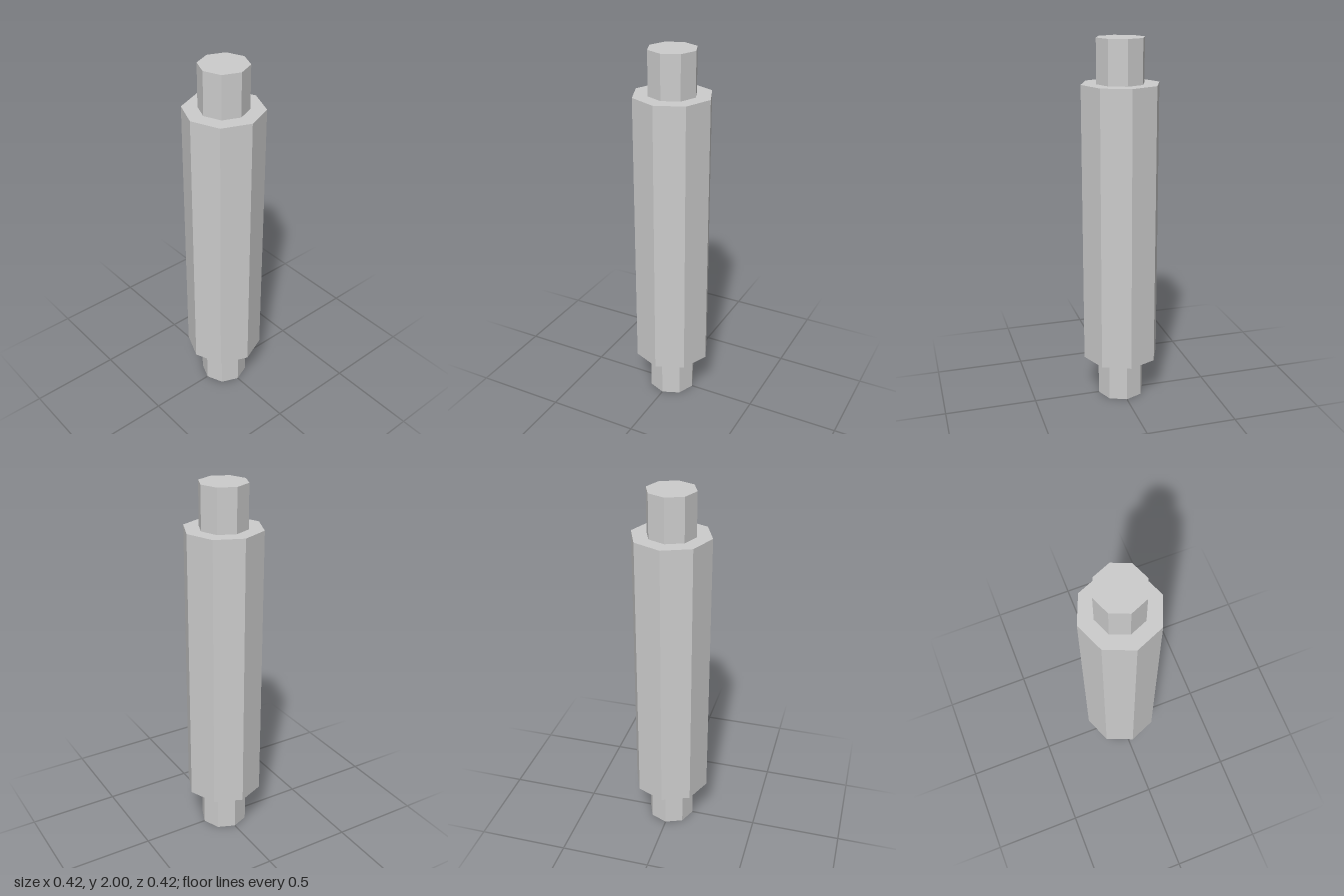
import * as THREE from 'three';

const SIDES = 8;
const HEIGHT = 2;
const PIN_LENGTH = 0.234;

export function createModel() {
  const group = new THREE.Group();
  group.name = 'roller';
  const material = new THREE.MeshStandardMaterial({ color: 0xcccccc, flatShading: true });

  // Octagonal prism standing between two heights, with corners on the axes
  const addPrism = (name, radius, bottom, top) => {
    const geometry = new THREE.CylinderGeometry(radius, radius, top - bottom, SIDES);
    const mesh = new THREE.Mesh(geometry, material);
    mesh.name = name;
    mesh.position.y = (bottom + top) / 2;
    group.add(mesh);
  };

  // Thick barrel with a narrower pin at each end
  addPrism('barrel', 0.212, PIN_LENGTH, HEIGHT - PIN_LENGTH);
  addPrism('lowerPin', 0.13, 0, PIN_LENGTH);
  addPrism('upperPin', 0.13, HEIGHT - PIN_LENGTH, HEIGHT);

  return group;
}
